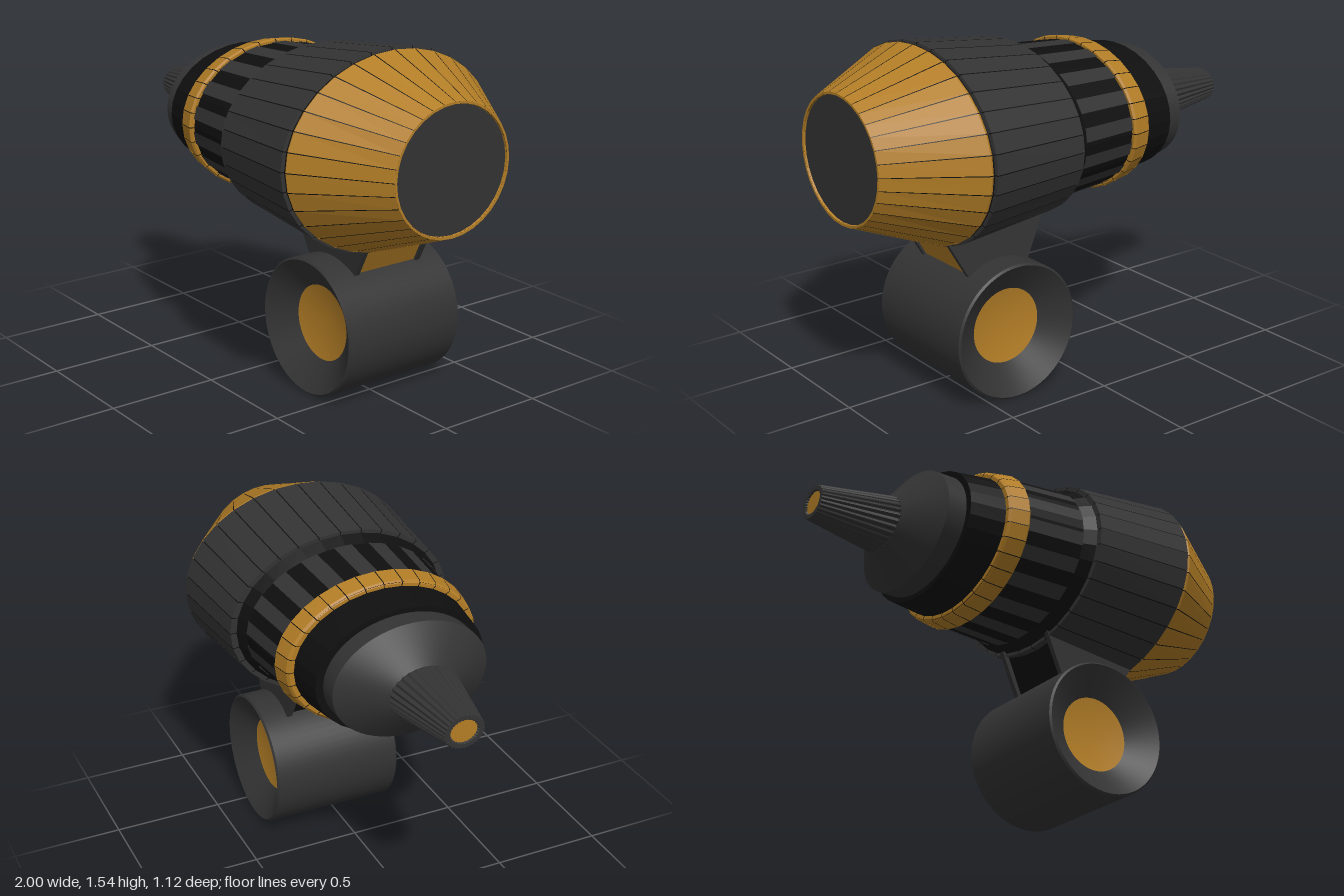
import * as THREE from 'three';
import { toCreasedNormals } from 'three/addons/utils/BufferGeometryUtils.js';

const AXIS_Y = 1.11;
const mat = (color) => new THREE.MeshStandardMaterial({ color, side: THREE.DoubleSide });
const GREY = mat(0x333333), BLACK = mat(0x0f0f0f), GOLD = mat(0xb27d26);

function add(parent, name, geometry, material) {
  const mesh = new THREE.Mesh(geometry, material);
  mesh.name = name;
  parent.add(mesh);
  return mesh;
}

// Elliptical loft along x. Sections are [x, halfHeight, halfDepth].
// spans lists the [start, end] angles that are covered, measured from the top.
function loft(sections, spans, smooth = true, flute = () => 1) {
  const pos = [];
  const point = ([x, ry, rz], t) => {
    const f = flute(t);
    return [x, AXIS_Y + ry * f * Math.cos(t), rz * f * Math.sin(t)];
  };
  for (let i = 0; i + 1 < sections.length; i++) {
    const s = sections[i], e = sections[i + 1];
    for (const [t0, t1] of spans) {
      const a = point(s, t0), b = point(s, t1), c = point(e, t1), d = point(e, t0);
      if (s[1] > 0) pos.push(...a, ...b, ...c);
      if (e[1] > 0) pos.push(...a, ...c, ...d);
    }
  }
  const g = new THREE.BufferGeometry();
  g.setAttribute('position', new THREE.Float32BufferAttribute(pos, 3));
  g.computeVertexNormals();
  return smooth ? toCreasedNormals(g, 0.35) : g;
}

// Evenly spaced angular spans, each covering a fraction of its step.
function spans(count, fill = 1, phase = 0) {
  const step = (Math.PI * 2) / count;
  return Array.from({ length: count }, (_, i) => {
    const t = phase + i * step;
    return [t, t + step * fill];
  });
}

function lathe(points, segments = 64) {
  const g = new THREE.LatheGeometry(points.map(([r, y]) => new THREE.Vector2(r, y)), segments);
  g.rotateX(Math.PI / 2);
  return toCreasedNormals(g.toNonIndexed(), 0.5);
}

// Tapered block: bottom and top rectangles are [x0, x1, z0, z1].
function taperedBlock(y0, bottom, y1, top) {
  const g = new THREE.BoxGeometry(1, 1, 1).toNonIndexed();
  const p = g.attributes.position;
  for (let i = 0; i < p.count; i++) {
    const up = p.getY(i) > 0, r = up ? top : bottom;
    p.setXYZ(i, r[p.getX(i) > 0 ? 1 : 0], up ? y1 : y0, r[p.getZ(i) > 0 ? 3 : 2]);
  }
  g.computeVertexNormals();
  return g;
}

function createModel() {
  const model = new THREE.Group();
  const round = spans(64), facets = spans(32);
  const panels = spans(32, 0.95, (Math.PI / 32) * 0.05);

  // Fluted nozzle with a recessed coloured tip
  const flute = (t) => 0.97 + 0.03 * Math.cos(t * 28);
  add(model, 'nozzle', loft([
    [-0.99, 0.05, 0.06], [-1, 0.055, 0.068], [-1, 0.074, 0.09],
    [-0.66, 0.12, 0.162], [-0.645, 0.11, 0.15],
  ], spans(168), false, flute), GREY);
  add(model, 'nozzleTip', loft([[-0.992, 0, 0], [-0.992, 0.06, 0.072]], round), GOLD);

  // Shoulder cone and neck ring
  add(model, 'shoulder', loft([
    [-0.655, 0, 0], [-0.655, 0.115, 0.15], [-0.54, 0.26, 0.355], [-0.44, 0.26, 0.355],
  ], round), GREY);

  // Black inner barrel running under the bands
  add(model, 'barrel', loft([
    [-0.45, 0.24, 0.33], [-0.45, 0.282, 0.39], [-0.28, 0.303, 0.415], [-0.19, 0.323, 0.44],
    [0.09, 0.34, 0.47], [0.15, 0.37, 0.5],
  ], facets, false), BLACK);

  // Coloured band
  add(model, 'bandCore', loft([
    [-0.283, 0.29, 0.4], [-0.283, 0.319, 0.437], [-0.19, 0.336, 0.457], [-0.19, 0.3, 0.41],
  ], facets, false), BLACK);
  add(model, 'band', loft([
    [-0.286, 0.3, 0.41], [-0.286, 0.315, 0.435], [-0.275, 0.326, 0.445],
    [-0.195, 0.34, 0.462], [-0.186, 0.334, 0.454], [-0.186, 0.31, 0.42],
  ], panels, false), GOLD);

  // Inlaid strips around the barrel
  add(model, 'barrelStrips', loft([
    [-0.186, 0.32, 0.436], [-0.186, 0.327, 0.445], [0.088, 0.343, 0.474], [0.088, 0.335, 0.465],
  ], spans(18, 0.5, -0.12), false), GREY);

  // Panelled main housing
  add(model, 'housingCore', loft([
    [0.148, 0.34, 0.46], [0.148, 0.377, 0.52], [0.608, 0.427, 0.555], [0.608, 0.38, 0.5],
  ], facets, false), BLACK);
  add(model, 'housingPanels', loft([
    [0.145, 0.355, 0.49], [0.145, 0.382, 0.526], [0.612, 0.433, 0.561], [0.616, 0.41, 0.535],
  ], panels, false), GREY);

  // Panelled front cone with its dark end plate
  add(model, 'coneCore', loft([
    [0.612, 0.421, 0.545], [0.63, 0.421, 0.545], [0.997, 0.277, 0.297], [0.997, 0.27, 0.29],
  ], facets, false), BLACK);
  add(model, 'conePanels', loft([
    [0.614, 0.4, 0.52], [0.618, 0.42, 0.543], [0.632, 0.426, 0.55], [1, 0.281, 0.301],
  ], panels, false), GOLD);
  add(model, 'coneRim', loft([
    [1, 0.281, 0.301], [1, 0.271, 0.291], [0.985, 0.268, 0.288],
  ], facets, false), GOLD);
  add(model, 'endPlate', loft([[0.99, 0.272, 0.292], [0.99, 0, 0]], facets, false), GREY);

  // Bracket: two grey cheeks around a coloured and a black web
  const bracket = new THREE.Group();
  bracket.name = 'bracket';
  model.add(bracket);
  const cheek = (name, zb, zt) => add(bracket, name, taperedBlock(
    0.5, [0.26, 0.5, zb, zb + 0.025], 0.78, [0.125, 0.66, zt, zt + 0.025]), GREY);
  cheek('frontCheek', 0.09, 0.11);
  cheek('backCheek', -0.245, -0.225);
  add(bracket, 'webFront', taperedBlock(
    0.5, [0.38, 0.49, -0.23, 0.1], 0.78, [0.38, 0.645, -0.21, 0.12]), GOLD);
  add(bracket, 'webBack', taperedBlock(
    0.5, [0.28, 0.38, -0.23, 0.1], 0.78, [0.15, 0.38, -0.21, 0.12]), BLACK);

  // Cross tube with dished ends and coloured centres
  const tube = new THREE.Group();
  tube.name = 'crossTube';
  tube.position.set(0.365, 0.308, -0.055);
  model.add(tube);
  add(tube, 'tubeShell', lathe([
    [0.17, -0.215], [0.298, -0.305], [0.307, -0.297], [0.307, 0.297], [0.298, 0.305], [0.17, 0.215],
  ]), GREY);
  for (const side of [-1, 1]) {
    const profile = [[0, side * 0.18], [0.17, side * 0.215]];
    add(tube, side > 0 ? 'frontDish' : 'backDish', lathe(side > 0 ? profile.reverse() : profile), GOLD);
  }
  return model;
}

export { createModel };
